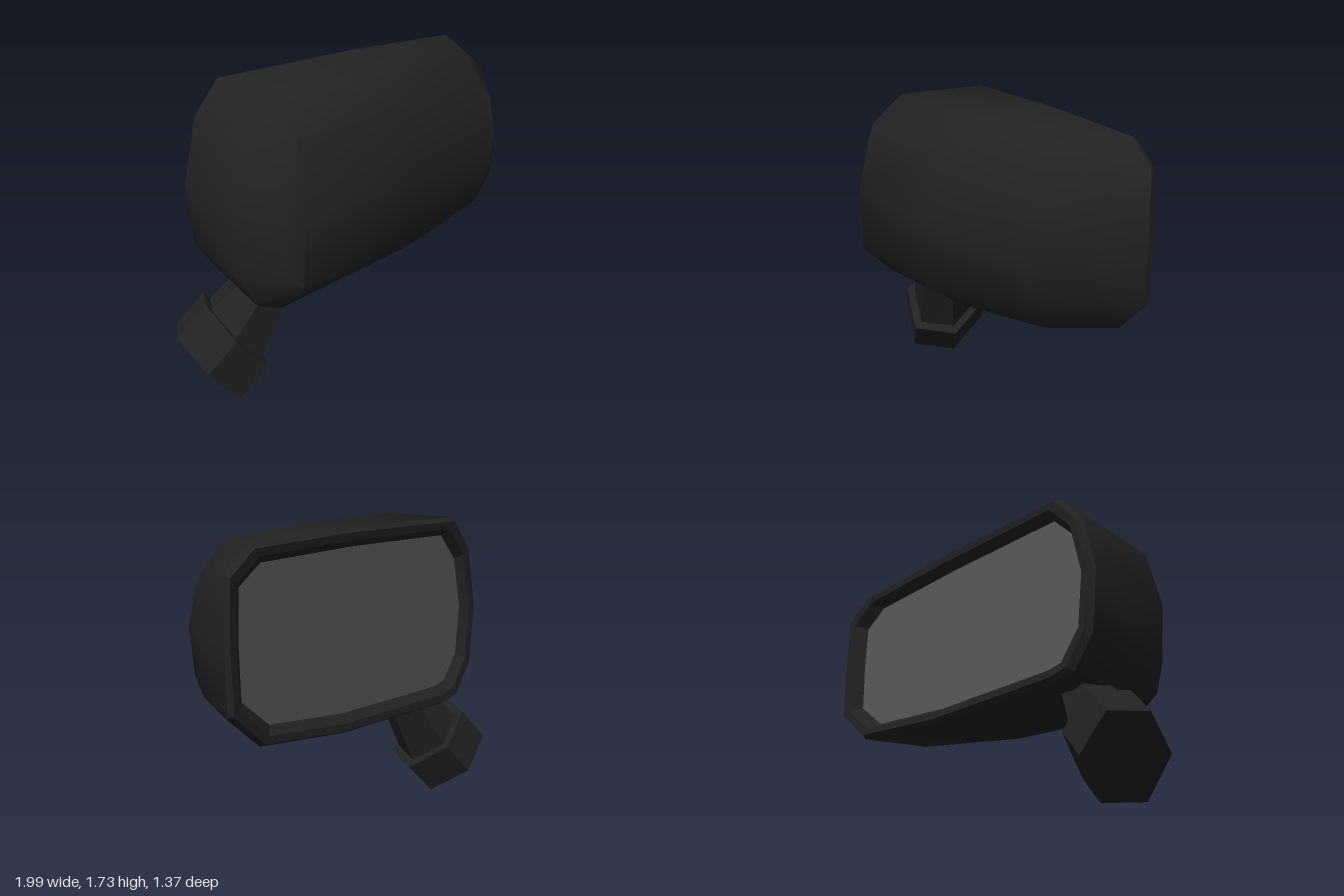
import * as THREE from 'three';
import { toCreasedNormals } from 'three/addons/utils/BufferGeometryUtils.js';

// Skin a list of closed rings (each an array of [x, y, z]), back to front.
function loft(rings, crease) {
  const n = rings[0].length, index = [];
  for (let k = 0; k < rings.length - 1; k++) {
    for (let i = 0; i < n; i++) {
      const j = (i + 1) % n;
      const a = k * n + i, b = k * n + j, c = a + n, d = b + n;
      index.push(a, c, b, b, c, d);
    }
  }
  const geo = new THREE.BufferGeometry();
  geo.setAttribute('position', new THREE.Float32BufferAttribute(rings.flat(2), 3));
  geo.setIndex(index);
  return toCreasedNormals(geo, crease);
}

const centreOf = ring => [0, 1, 2].map(k => ring.reduce((s, p) => s + p[k], 0) / ring.length);
const collapse = ring => ring.map(() => centreOf(ring));

export function createModel() {
  const group = new THREE.Group();
  const plastic = new THREE.MeshStandardMaterial({ color: 0x222222 });
  plastic.name = 'black plastic';
  const mirror = new THREE.MeshStandardMaterial({ color: 0x5a5a5a });
  mirror.name = 'mirror grey';
  const add = (name, geometry, material) => {
    const mesh = new THREE.Mesh(geometry, material);
    mesh.name = name;
    group.add(mesh);
  };

  // Rim outline, lying on a slanted plane that faces the back
  const outline = [
    [-0.88, 1.18], [-0.81, 1.53], [-0.67, 1.71], [0.15, 1.73], [0.83, 1.72], [0.98, 1.6], [0.99, 1.28],
    [0.98, 0.93], [0.79, 0.74], [0.22, 0.66], [-0.62, 0.63], [-0.73, 0.65], [-0.85, 0.83],
  ];
  const rimRing = (inset, forward) => outline.map(([x, y]) => {
    const px = 0.06 + (x - 0.06) * (1 - inset / 0.93);
    const py = 1.18 + (y - 1.18) * (1 - inset / 0.54);
    return [px, py, -0.31 - 0.364 * px + forward];
  });

  // Housing shell: rim, shoulder, front edge, then a ridge along the front
  const shoulder = [
    [-0.72, 1.18, 0.54], [-0.65, 1.52, 0.5], [-0.5, 1.7, 0.43], [0.15, 1.71, 0.1], [0.8, 1.7, -0.24],
    [0.96, 1.58, -0.35], [0.99, 1.26, -0.38], [0.97, 0.95, -0.33], [0.79, 0.76, -0.2], [0.22, 0.67, 0.15],
    [-0.5, 0.63, 0.52], [-0.62, 0.65, 0.5], [-0.71, 0.82, 0.52],
  ];
  const frontEdge = [
    [-0.5, 1.17, 0.67], [-0.47, 1.45, 0.63], [-0.42, 1.55, 0.6], [0.25, 1.55, 0.26], [0.85, 1.53, -0.12],
    [0.91, 1.45, -0.1], [0.93, 1.25, -0.05], [0.92, 1.0, -0.08], [0.82, 0.85, -0.05], [0.28, 0.8, 0.32],
    [-0.42, 0.8, 0.68], [-0.47, 0.83, 0.66], [-0.5, 0.95, 0.67],
  ];
  const ridge = frontEdge.map(([x]) =>
    x < 0 ? [-0.41, 1.17, 0.69] : x < 0.5 ? [0.3, 1.17, 0.34] : [0.9, 1.17, -0.03]);
  add('housing', loft([rimRing(0, 0.02), shoulder, frontEdge, ridge], 1.0), plastic);

  // Raised bezel around the recessed glass
  const glassEdge = rimRing(0.1, 0.05);
  add('bezel', loft([glassEdge, rimRing(0.06, -0.01), rimRing(0.02, -0.015), rimRing(0, 0.02)], 0.4), plastic);
  add('mirrorGlass', loft([collapse(glassEdge), glassEdge], 0.3), mirror);

  // Six-sided mounting foot, tilted towards the vehicle
  const foot = [
    [-1, 0.38, 0.23], [-0.97, 0.35, 0], [-0.82, 0.17, -0.065],
    [-0.68, 0.005, 0.13], [-0.71, 0.04, 0.38], [-0.88, 0.24, 0.42],
  ];
  const footTop = foot.map(([x, y, z]) => [x + 0.16, y + 0.175, z]);
  add('mountingFoot', loft([collapse(foot), foot, footTop, collapse(footTop)], 0.3), plastic);

  // Tapered neck from the foot up into the housing
  const c = centreOf(footTop);
  const neckBase = footTop.map(p => p.map((v, k) => c[k] + (v - c[k]) * 0.8));
  const neckTop = footTop.map(([x, , z]) => [-0.45 + (x - c[0]) * 0.75, 0.75, 0.21 + (z - c[2]) * 0.65]);
  add('neck', loft([neckBase, neckTop], 0.3), plastic);

  return group;
}
